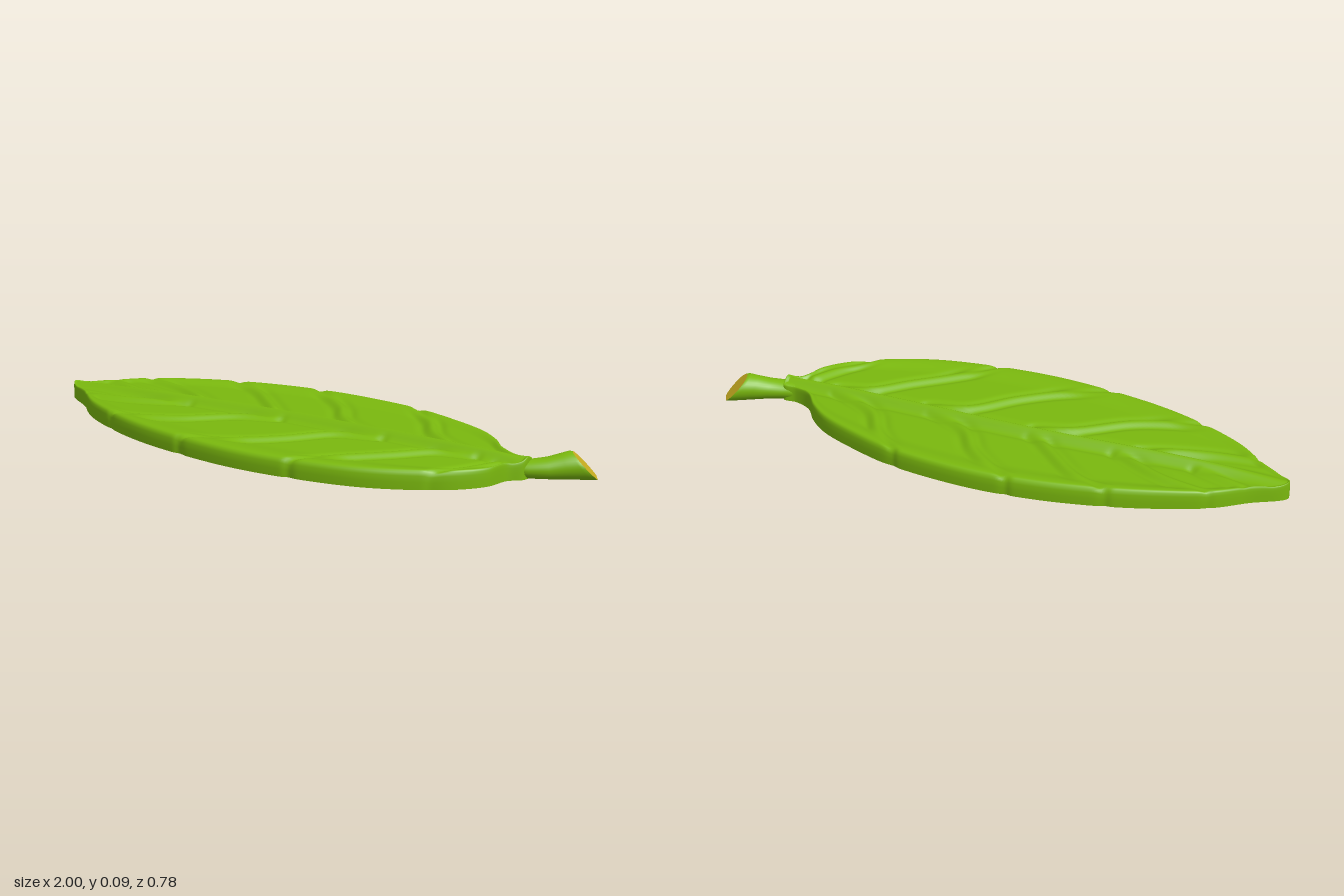
import * as THREE from 'three';

const leafGreen = new THREE.MeshStandardMaterial({ color: 0x7ab80e });
const cutYellow = new THREE.MeshStandardMaterial({ color: 0xc8ad20 });

const curve = (pts, closed = false) =>
  new THREE.CatmullRomCurve3(pts.map(([x, z]) => new THREE.Vector3(x, 0, z)), closed, 'centripetal');
const bump = (d, w) => Math.exp(-((d / w) ** 2));
const smooth = THREE.MathUtils.smoothstep;

// Blade edge, from the tip along the back, round the stem and home along the front
const outline = curve([
  [-1, 0.01], [-0.9, -0.08], [-0.8, -0.17], [-0.65, -0.25], [-0.5, -0.31], [-0.32, -0.36], [-0.155, -0.385],
  [0, -0.39], [0.22, -0.37], [0.38, -0.325], [0.54, -0.26], [0.62, -0.2], [0.685, -0.13], [0.75, -0.104],
  [0.8, -0.105], [0.81, -0.04], [0.77, 0.005], [0.75, 0.085], [0.685, 0.17], [0.565, 0.255], [0.41, 0.325],
  [0.19, 0.37], [-0.02, 0.385], [-0.245, 0.365], [-0.45, 0.325], [-0.61, 0.27], [-0.77, 0.19], [-0.88, 0.1],
], true);

// Side veins, each from the midrib to the edge
const veins = [
  [[0.74, 0], [0.69, 0.11], [0.62, 0.22]],
  [[0.62, -0.03], [0.51, 0.01], [0.42, 0.11], [0.3, 0.235], [0.19, 0.37]],
  [[0.27, -0.02], [0.14, 0.03], [0.03, 0.165], [-0.085, 0.27], [-0.25, 0.365]],
  [[-0.13, -0.01], [-0.245, 0.04], [-0.385, 0.165], [-0.5, 0.225], [-0.62, 0.265]],
  [[-0.5, 0], [-0.58, 0.04], [-0.715, 0.085], [-0.86, 0.11]],
  [[0.59, -0.06], [0.42, -0.145], [0.33, -0.26], [0.21, -0.37]],
  [[0.22, -0.055], [0.075, -0.13], [-0.02, -0.245], [-0.2, -0.378]],
  [[-0.155, -0.06], [-0.26, -0.155], [-0.37, -0.245], [-0.51, -0.307]],
  [[-0.45, -0.05], [-0.61, -0.13], [-0.8, -0.17]],
  [[-0.72, -0.03], [-0.88, -0.08]],
].map((pts) => curve(pts).getPoints(40));

// Distance to the nearest vein, measured to its segments
function veinDistance(x, z) {
  let best = 9;
  for (const v of veins) {
    for (let i = 0; i < v.length - 1; i++) {
      const ax = v[i].x, az = v[i].z, dx = v[i + 1].x - ax, dz = v[i + 1].z - az;
      const t = Math.min(1, Math.max(0, ((x - ax) * dx + (z - az) * dz) / (dx * dx + dz * dz)));
      best = Math.min(best, Math.hypot(x - ax - t * dx, z - az - t * dz));
    }
  }
  return best;
}

const midribZ = (x) => -0.048 - 0.012 * x + 0.046 * smooth(-x, 0, 1);

// Height of the dished upper face; s runs from 0 at the midrib to 1 at the edge
function topHeight(x, z, s) {
  const d = veinDistance(x, z), m = Math.abs(z - midribZ(x));
  const rim = smooth(s, 0.7, 0.93), fade = 1 - 0.6 * smooth(Math.abs(x), 0.6, 1);
  const crown = 0.065 - 0.015 * x ** 4 - 0.011 * (1 - rim) * fade;
  const ridge = 0.009 * bump(d, 0.016) - 0.006 * bump(d - 0.032, 0.013);
  const crease = -0.008 * bump(d, 0.012);
  const midrib = (0.021 * bump(m, 0.02) - 0.006 * bump(m - 0.042, 0.014)) * fade;
  const side = smooth(m, 0.01, 0.045) * fade;
  return crown + midrib + side * THREE.MathUtils.lerp(ridge, crease, rim);
}

// Joins loops of points into a skin
function skin(loops, flip) {
  const n = loops[0].length, index = [];
  for (let j = 0; j < loops.length - 1; j++) {
    for (let i = 0; i < n; i++) {
      const a = j * n + i, d = j * n + (i + 1) % n, b = a + n, c = d + n;
      if (flip) index.push(a, c, b, a, d, c);
      else index.push(a, b, c, a, c, d);
    }
  }
  const g = new THREE.BufferGeometry();
  g.setAttribute('position', new THREE.Float32BufferAttribute(loops.flat(2), 3));
  g.setIndex(index);
  g.computeVertexNormals();
  return g;
}

function add(group, name, geometry, material) {
  const mesh = new THREE.Mesh(geometry, material);
  mesh.name = name;
  group.add(mesh);
}

export function createModel() {
  const group = new THREE.Group();
  group.name = 'leaf';

  // Rings from the midrib outward, then over the rounded rim: [s, height factor]
  const rings = Array.from({ length: 40 }, (_, i) => [0.955 * i / 39, 1]);
  rings.push([0.975, 0.96], [0.99, 0.88], [1, 0.72], [1, 0.4], [0.992, 0]);
  const edge = outline.getSpacedPoints(560).slice(0, -1);
  const loopAt = ([s, k]) => edge.map((p) => {
    const mx = p.x < 0 ? p.x * 0.97 : p.x * 0.94, mz = midribZ(mx);
    const notch = s > 0.9 ? 1 - 0.015 * bump(veinDistance(p.x, p.z), 0.014) : 1;
    const x = mx + (p.x - mx) * s * notch, z = mz + (p.z - mz) * s * notch;
    return [x, k ? k * topHeight(x, z, s) : 0, z];
  });
  add(group, 'blade', skin(rings.map(loopAt), true), leafGreen);
  add(group, 'underside', skin([loopAt([0.992, 0]), loopAt([0, 0])], true), leafGreen);

  // Stem sections: x, z, half width, height, slant of the section
  const sides = 32;
  const stemLoops = [
    [0.64, -0.056, 0.02, 0.062, 0], [0.71, -0.059, 0.03, 0.061, 0], [0.76, -0.064, 0.038, 0.056, 0],
    [0.81, -0.078, 0.041, 0.058, 0], [0.86, -0.105, 0.042, 0.066, 0.008], [0.905, -0.135, 0.045, 0.078, 0.022],
    [0.94, -0.157, 0.05, 0.086, 0.036], [0.953, -0.165, 0.048, 0.084, 0.04],
  ].map(([x, z, w, h, slant], k) => {
    const angle = 0.56 * smooth(k, 1, 5), dx = Math.cos(angle), dz = -Math.sin(angle);
    return Array.from({ length: sides }, (_, i) => {
      const a = i / sides * Math.PI * 2;
      const y = Math.max(0.001, h / 2 + (h / 2) * Math.sin(a) * (Math.sin(a) < 0 ? 1.15 : 1));
      const along = slant * (1 - 2 * y / h), across = w * Math.cos(a);
      return [x + dx * along - dz * across, y, z + dz * along + dx * across];
    });
  });
  add(group, 'stem', skin(stemLoops), leafGreen);

  // Slanted cut face closing the stem
  const end = stemLoops.at(-1);
  const centre = [0, 1, 2].map((c) => end.reduce((sum, p) => sum + p[c], 0) / sides);
  add(group, 'stemCut', skin([end, end.map(() => centre)]), cutYellow);

  return group;
}
